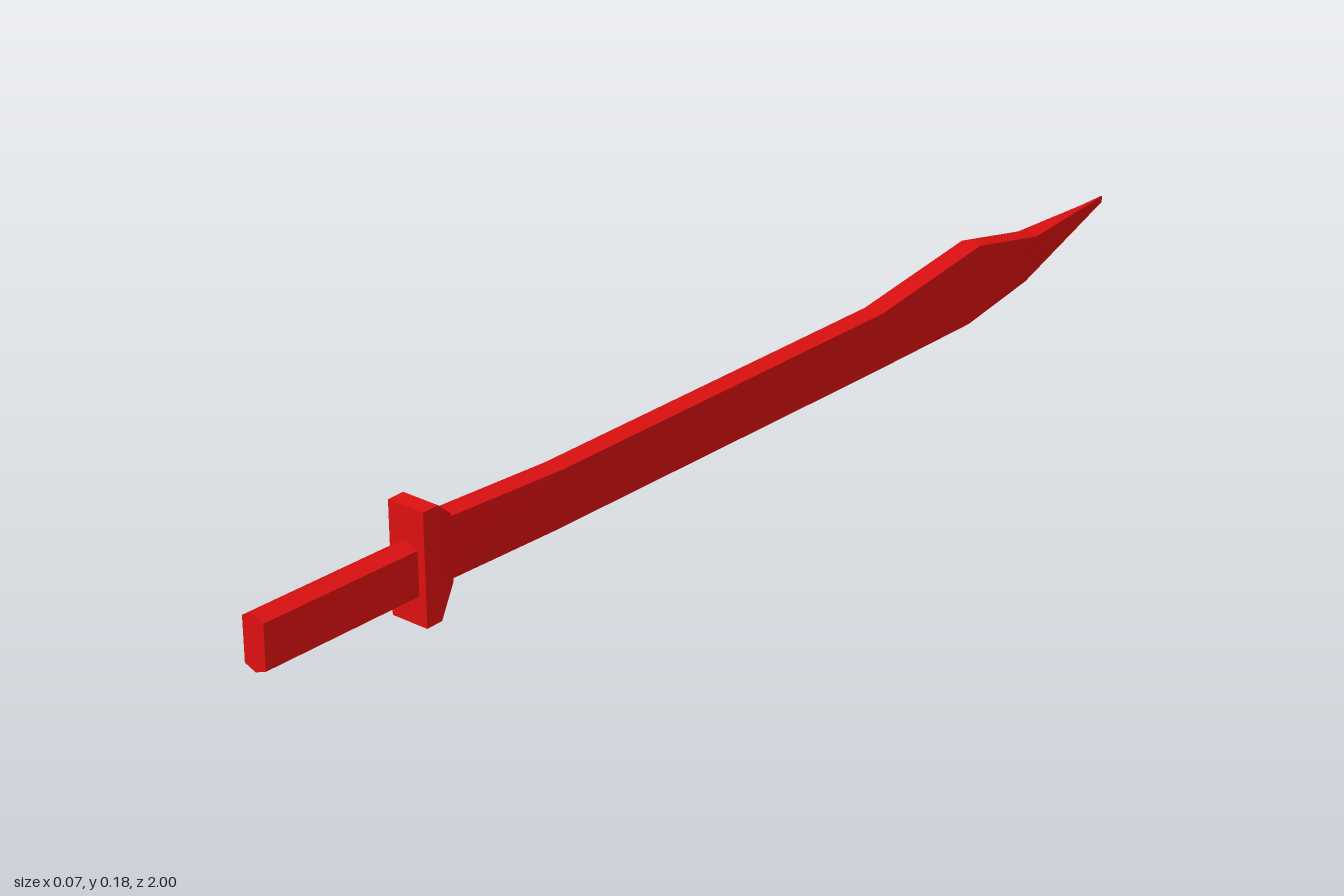
import * as THREE from 'three';

const material = new THREE.MeshStandardMaterial({ color: 0xdd1010, flatShading: true });

// Skin a row of cross-sections running from +z to -z; each is {z, pts} with
// pts counter-clockwise as seen from +z. Both ends are capped.
function loft(name, sections) {
  const n = sections[0].pts.length;
  const positions = [];
  const index = [];
  for (const { z, pts } of sections) for (const [x, y] of pts) positions.push(x, y, z);
  for (let i = 0; i < sections.length - 1; i++) {
    for (let j = 0; j < n; j++) {
      const a = i * n + j, b = i * n + (j + 1) % n;
      index.push(a, a + n, b + n, a, b + n, b);
    }
  }
  const last = (sections.length - 1) * n;
  for (let j = 1; j < n - 1; j++) {
    index.push(0, j, j + 1);
    index.push(last, last + j + 1, last + j);
  }
  const indexed = new THREE.BufferGeometry();
  indexed.setAttribute('position', new THREE.Float32BufferAttribute(positions, 3));
  indexed.setIndex(index);
  const geometry = indexed.toNonIndexed();
  geometry.computeVertexNormals();
  const mesh = new THREE.Mesh(geometry, material);
  mesh.name = name;
  return mesh;
}

const rect = (z, w, bottom, top) => ({ z, pts: [[w, bottom], [w, top], [-w, top], [-w, bottom]] });

// Six-sided section with a ridge above and a keel below
const hex = (z, top, shoulder, low, bottom, w, lowW) => ({
  z,
  pts: [[0, bottom], [lowW, low], [w, shoulder], [0, top], [-w, shoulder], [-lowW, low]],
});

export function createModel() {
  const group = new THREE.Group();
  group.name = 'sword';

  // Grip: a bevelled bar dropping slightly toward the guard
  group.add(loft('grip', [
    hex(1.0, 0.141, 0.131, 0.059, 0.051, 0.02, 0.02),
    hex(0.69, 0.131, 0.121, 0.05, 0.042, 0.02, 0.02),
  ]));

  // Guard: a rectangular block tapering into the blade
  group.add(loft('guard', [
    rect(0.705, 0.033, 0.004, 0.184),
    rect(0.675, 0.033, 0.004, 0.184),
    rect(0.632, 0.016, 0.042, 0.149),
  ]));

  // Blade: z, spine height, edge height, half thickness
  const stations = [
    [0.4, 0.137, 0.026, 0.018],
    [0, 0.129, 0.016, 0.018],
    [-0.36, 0.122, 0.007, 0.018],
    [-0.62, 0.153, 0.003, 0.018],
    [-0.78, 0.118, 0.026, 0.018],
    [-1, 0.111, 0.099, 0.001],
  ];
  const bladeSections = stations.map(([z, top, bottom, w]) => {
    const shoulder = top - Math.min(0.007, (top - bottom) * 0.2);
    return hex(z, top, shoulder, (shoulder + bottom) / 2, bottom, w, w / 2);
  });
  // Thick root that thins down to the cutting edge
  bladeSections.unshift(hex(0.64, 0.154, 0.147, 0.048, 0.037, 0.018, 0.015));
  group.add(loft('blade', bladeSections));

  return group;
}
